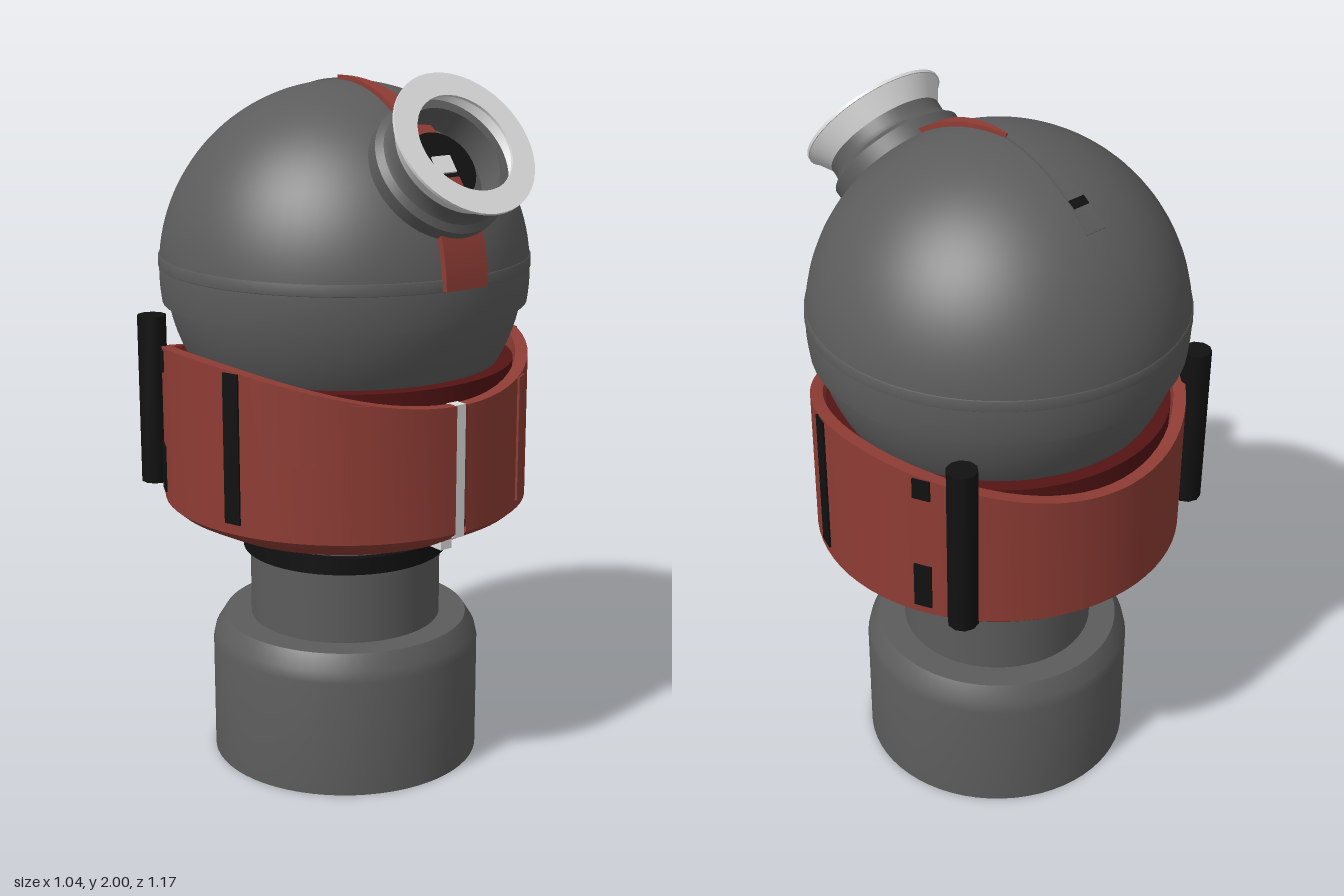
import * as THREE from 'three';
import { toCreasedNormals } from 'three/addons/utils/BufferGeometryUtils.js';

const material = (name, color, side = THREE.FrontSide) => {
  const m = new THREE.MeshStandardMaterial({ color, side });
  m.name = name;
  return m;
};

export function createModel() {
  const grey = material('dark grey', 0x5c5c5c, THREE.DoubleSide);
  const red = material('brick red', 0x8e3c34, THREE.DoubleSide);
  const darkRed = material('deep red', 0x541414);
  const black = material('black', 0x111111);
  const white = material('light grey', 0xdcdcdc, THREE.DoubleSide);

  const model = new THREE.Group();
  model.name = 'domedFigure';
  const body = new THREE.Group();
  body.name = 'body';
  body.position.z = -0.06;
  model.add(body);

  const add = (name, geometry, mat, parent = body) => {
    const mesh = new THREE.Mesh(geometry, mat);
    mesh.name = name;
    parent.add(mesh);
    return mesh;
  };
  // Profiles run as [radius, height], counterclockwise
  const lathe = (points, start = 0, length = Math.PI * 2, segments = 64) =>
    new THREE.LatheGeometry(points.map(p => new THREE.Vector2(...p)), segments, start, length);
  const crease = (g, angle = 0.45) => toCreasedNormals(g, angle);

  // Base, neck and neck ring
  add('base', crease(lathe([[0, 0], [0.39, 0], [0.39, 0.34], [0.383, 0.37], [0.355, 0.415], [0.27, 0.415]])), grey);
  add('neck', lathe([[0.277, 0.41], [0.277, 1.0]]), grey);
  add('neckRing', crease(lathe([[0.27, 0.625], [0.297, 0.625], [0.297, 0.675], [0.27, 0.675]])), black);

  // Collar, split at the front, with a rim that rises at the sides
  const gap = 0.035;
  const collar = lathe([
    [0.38, 0.725], [0.41, 0.725], [0.497, 0.77], [0.52, 0.79], [0.52, 1.0], [0.52, 1.15],
    [0.485, 1.15], [0.47, 1.0], [0.47, 0.82], [0.38, 0.725],
  ], gap, Math.PI * 2 - 2 * gap, 72);
  const pos = collar.attributes.position;
  for (let i = 0; i < pos.count; i++) {
    if (pos.getY(i) > 1.1) {
      const s = pos.getX(i) / Math.hypot(pos.getX(i), pos.getZ(i));
      pos.setY(i, 1.145 + 0.105 * s * s);
    }
  }
  add('collar', crease(collar), red);
  add('collarInnerRing', crease(lathe([[0.475, 1.1], [0.478, 1.19], [0.43, 1.19], [0.43, 1.1]])), darkRed);
  add('collarLining', lathe([[0.462, 0.82], [0.462, 1.1]]), white);
  add('frontSeam', new THREE.BoxGeometry(0.038, 0.37, 0.035).translate(0, 0.96, 0.494), white);
  add('frontSeamFoot', new THREE.BoxGeometry(0.038, 0.05, 0.06).translate(0, 0.752, 0.43), white);

  // Ribs on the collar and rods at its back
  const rib = (name, angle, y0, y1, mat, width = 0.05) => {
    const mesh = add(name, new THREE.BoxGeometry(width, y1 - y0, 0.016), mat);
    mesh.position.set(Math.sin(angle) * 0.517, (y0 + y1) / 2, Math.cos(angle) * 0.517);
    mesh.rotation.y = angle;
  };
  for (const side of [1, -1]) {
    rib('frontRib', side * 0.56, 0.815, 1.17, red);
    rib('sideRib', side * 1.256, 0.82, 1.235, black);
    rib('rearRibUpper', side * 2.015, 1.165, 1.225, black);
    rib('rearRibLower', side * 2.015, 0.815, 0.95, black);
    const rod = add('backRod', crease(new THREE.CylinderGeometry(0.042, 0.042, 0.49, 10), 0.7), black);
    rod.position.set(side * 0.432, 1.055, -0.34);
  }

  // Head: large dome over a slightly smaller ball
  const headY = 1.44, R = 0.52;
  const head = new THREE.Group();
  head.name = 'head';
  head.position.y = headY;
  body.add(head);
  add('lowerBall', new THREE.SphereGeometry(0.503, 64, 24, 0, Math.PI * 2, 1.5, Math.PI - 1.5), grey, head);
  add('dome', new THREE.SphereGeometry(R, 64, 40, 0, Math.PI * 2, 0, Math.acos(-0.085 / R)), grey, head);
  add('domeLip', new THREE.RingGeometry(0.49, 0.513, 64).rotateX(Math.PI / 2).translate(0, -0.085, 0), grey, head);
  add('domeBand', lathe([[0.519, 0.015], [0.5225, 0.018], [0.5215, 0.046], [0.516, 0.049]]), grey, head);

  // Curved strip over the dome; angles in degrees from the front, halfWidth per angle
  const strip = (name, from, to, halfWidth, radius, mat) => {
    const verts = [], index = [], steps = 32;
    for (let i = 0; i <= steps; i++) {
      const deg = from + (to - from) * i / steps;
      const a = THREE.MathUtils.degToRad(deg), w = halfWidth(deg);
      for (const [x, r] of [[-w, 0.5], [-w, radius], [w, radius], [w, 0.5]])
        verts.push(x, Math.sin(a) * r, Math.cos(a) * r);
      if (i < steps) for (let k = 0; k < 3; k++) {
        const p = i * 4 + k;
        index.push(p, p + 1, p + 5, p, p + 5, p + 4);
      }
    }
    index.push(0, 2, 1, 0, 3, 2);
    const e = steps * 4;
    index.push(e, e + 1, e + 2, e, e + 2, e + 3);
    const g = new THREE.BufferGeometry();
    g.setAttribute('position', new THREE.Float32BufferAttribute(verts, 3));
    g.setIndex(index);
    add(name, crease(g, 0.5), mat, head);
  };
  strip('redCrest', 2, 93, d => (d < 20 ? 0.07 : 0.07 - 0.067 * (d - 20) / 73), 0.532, red);
  strip('rearCrest', 93, 133, d => 0.003 + 0.03 * (d - 93) / 40, 0.524, grey);
  const notch = add('crestNotch', new THREE.BoxGeometry(0.05, 0.008, 0.025), black, head);
  notch.position.set(0, 0.436, -0.29);
  notch.rotation.x = -0.587;

  // Eye: hollow barrel, flared rim and face ring pointing up and forward
  const eye = new THREE.Group();
  eye.name = 'eye';
  eye.rotation.x = Math.PI / 2 - THREE.MathUtils.degToRad(37.5);
  head.add(eye);
  add('eyeBarrel', crease(lathe([
    [0.19, 0.46], [0.195, 0.525], [0.178, 0.54], [0.172, 0.555], [0.172, 0.585],
    [0.145, 0.585], [0.14, 0.5],
  ], 0, Math.PI * 2, 48)), grey, eye);
  add('eyeFlare', lathe([[0.168, 0.58], [0.208, 0.645]], 0, Math.PI * 2, 48), white, eye);
  add('eyeRing', crease(lathe([
    [0.142, 0.642], [0.21, 0.642], [0.21, 0.65], [0.142, 0.65], [0.142, 0.642],
  ], 0, Math.PI * 2, 48)), white, eye);
  add('eyeLens', new THREE.CylinderGeometry(0.1, 0.1, 0.008, 32).translate(0, 0.536, 0), black, eye);
  add('eyeGlint', new THREE.BoxGeometry(0.06, 0.006, 0.05).translate(0, 0.543, 0), white, eye);
  add('eyeBar', new THREE.BoxGeometry(0.06, 0.006, 0.05).translate(0, 0.543, 0.065), red, eye);

  return model;
}
